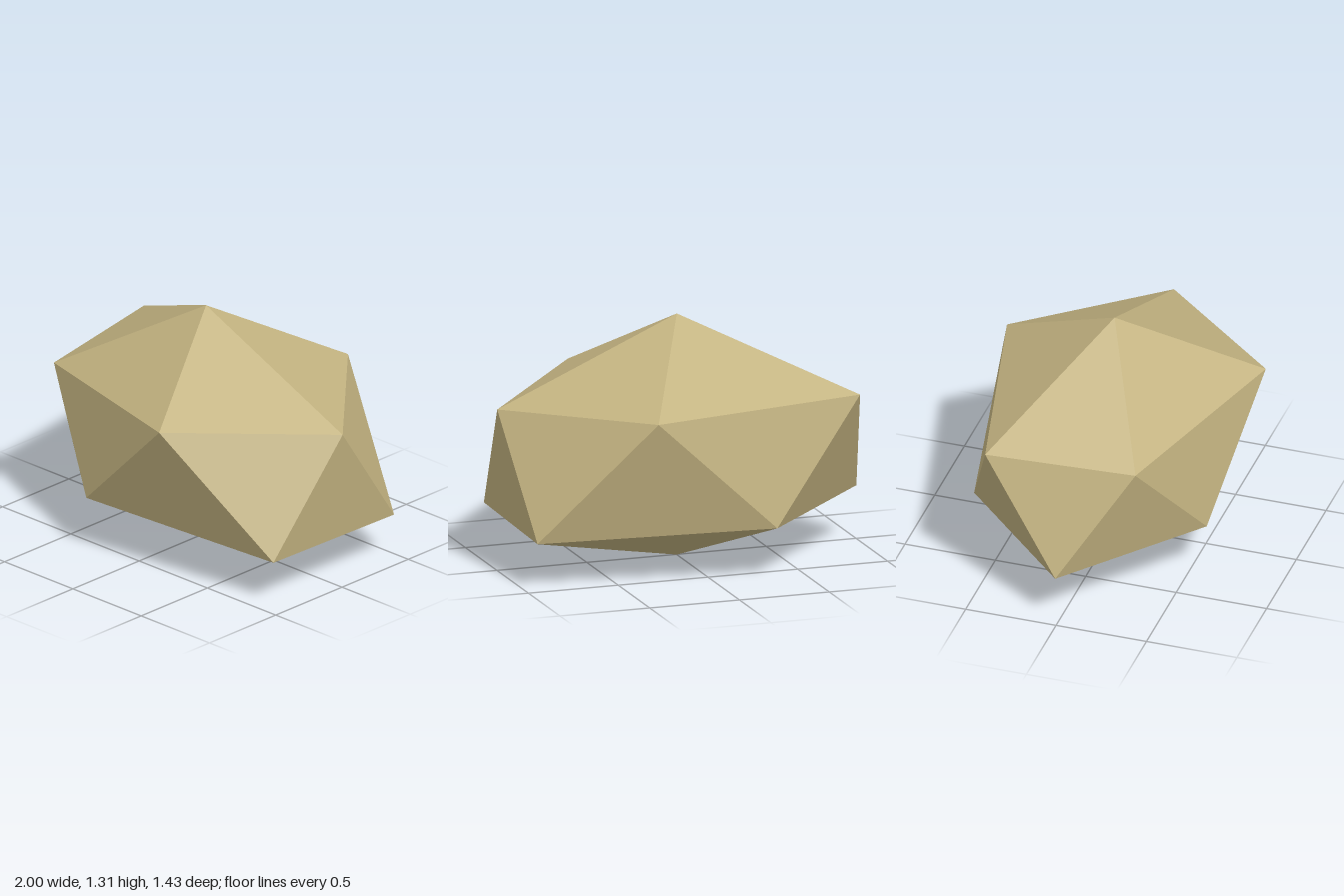
import * as THREE from 'three';

export function createModel() {
  const group = new THREE.Group();
  const sand = new THREE.MeshStandardMaterial({ color: 0xc2b280, flatShading: true });
  sand.name = 'sand stone';

  // Rock: a peak, a shoulder ring, a foot ring set between the shoulders, and a base point
  const peak = [0, 1.31, -0.005];
  const shoulder = [
    [1, 0.875, -0.005], [0.355, 0.917, 0.715], [-0.76, 0.86, 0.36],
    [-0.87, 0.9, -0.435], [0.35, 0.91, -0.715],
  ];
  const foot = [
    [0.92, 0.255, 0.435], [-0.29, 0.305, 0.6], [-1, 0.29, -0.005],
    [-0.325, 0.28, -0.675], [0.935, 0.25, -0.46],
  ];
  const base = [0, 0, -0.005];

  // Each step closes one cap face, two side faces and one underside face
  const corners = [];
  for (let i = 0; i < 5; i++) {
    const j = (i + 1) % 5;
    corners.push(peak, shoulder[j], shoulder[i]);
    corners.push(shoulder[i], shoulder[j], foot[i]);
    corners.push(shoulder[j], foot[j], foot[i]);
    corners.push(base, foot[i], foot[j]);
  }
  const geometry = new THREE.BufferGeometry();
  geometry.setAttribute('position', new THREE.Float32BufferAttribute(corners.flat(), 3));
  geometry.computeVertexNormals();

  const rock = new THREE.Mesh(geometry, sand);
  rock.name = 'rock';
  group.add(rock);
  return group;
}
